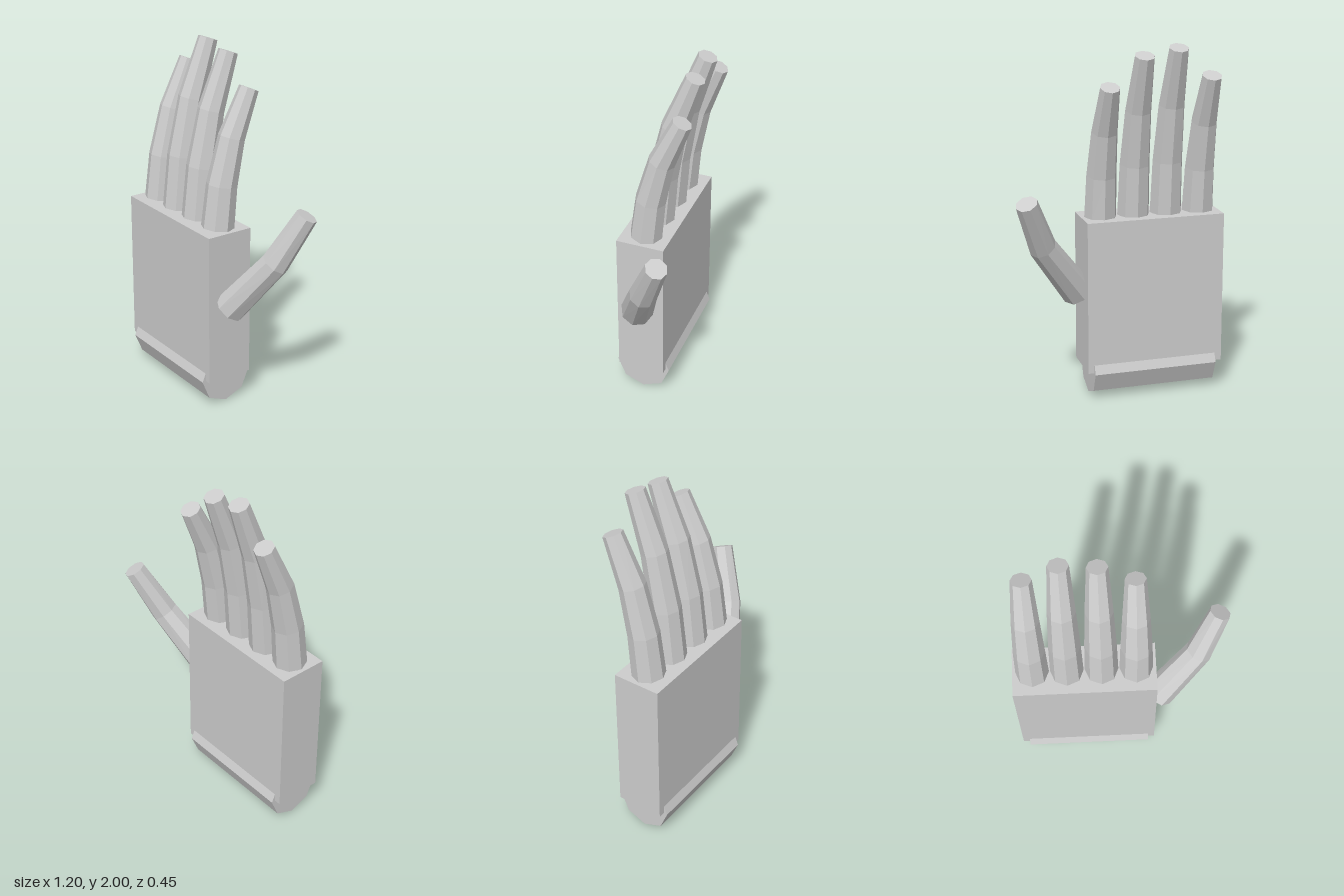
import * as THREE from 'three';

const SIDES = 8;

// Tapered eight-sided limb through a few joints, capped at both ends.
// Each joint is [x, y, z, radius].
function limbGeometry(joints) {
  const centers = joints.map(([x, y, z]) => new THREE.Vector3(x, y, z));
  const last = centers.length - 1;
  const rings = centers.map((center, i) => {
    const before = i > 0 ? centers[i].clone().sub(centers[i - 1]).normalize() : new THREE.Vector3();
    const after = i < last ? centers[i + 1].clone().sub(centers[i]).normalize() : new THREE.Vector3();
    const along = before.add(after).normalize();
    const u = new THREE.Vector3(0, 0, 1);
    u.addScaledVector(along, -u.dot(along)).normalize();
    const v = along.clone().cross(u);
    return Array.from({ length: SIDES }, (_, k) => {
      const a = (k / SIDES) * Math.PI * 2;
      return center.clone()
        .addScaledVector(u, Math.cos(a) * joints[i][3])
        .addScaledVector(v, Math.sin(a) * joints[i][3]);
    });
  });

  const points = [];
  for (let k = 0; k < SIDES; k++) {
    const n = (k + 1) % SIDES;
    for (let i = 0; i < last; i++) {
      const [a, b, c, d] = [rings[i][k], rings[i][n], rings[i + 1][n], rings[i + 1][k]];
      points.push(a, b, c, a, c, d);
    }
    points.push(centers[last], rings[last][k], rings[last][n]);
    points.push(centers[0], rings[0][n], rings[0][k]);
  }
  const geometry = new THREE.BufferGeometry().setFromPoints(points);
  geometry.computeVertexNormals();
  return geometry;
}

export function createModel() {
  const model = new THREE.Group();
  model.name = 'hand';
  const grey = new THREE.MeshStandardMaterial({ color: 0xcccccc, flatShading: true });
  grey.name = 'light grey';

  const add = (name, geometry) => {
    const mesh = new THREE.Mesh(geometry, grey);
    mesh.name = name;
    model.add(mesh);
    return mesh;
  };

  // Palm block
  add('palm', new THREE.BoxGeometry(0.79, 0.872, 0.274)).position.set(-0.21, 0.599, 0.069);

  // Wrist: octagonal bar lying across the bottom of the palm
  const wrist = new THREE.CylinderGeometry(0.158, 0.158, 0.715, SIDES);
  wrist.rotateZ(Math.PI / 2);
  add('wrist', wrist).position.set(-0.208, 0.158, 0.069);

  // Four fingers, curling towards the back
  const base = 1.037;
  const fingers = [
    ['littleFinger', -0.495, 1.845],
    ['middleFinger', -0.305, 2.0],
    ['ringFinger', -0.115, 1.965],
    ['indexFinger', 0.075, 1.805],
  ];
  for (const [name, x, top] of fingers) {
    const length = top - 0.02 - base;
    add(name, limbGeometry([
      [x, base, 0.072, 0.092],
      [x, base + length * 0.32, 0.045, 0.086],
      [x, base + length * 0.66, -0.018, 0.074],
      [x, base + length, -0.131, 0.055],
    ]));
  }

  // Thumb
  add('thumb', limbGeometry([
    [0.205, 0.605, 0.08, 0.092],
    [0.432, 0.918, -0.05, 0.077],
    [0.543, 1.197, -0.168, 0.061],
  ]));

  return model;
}
